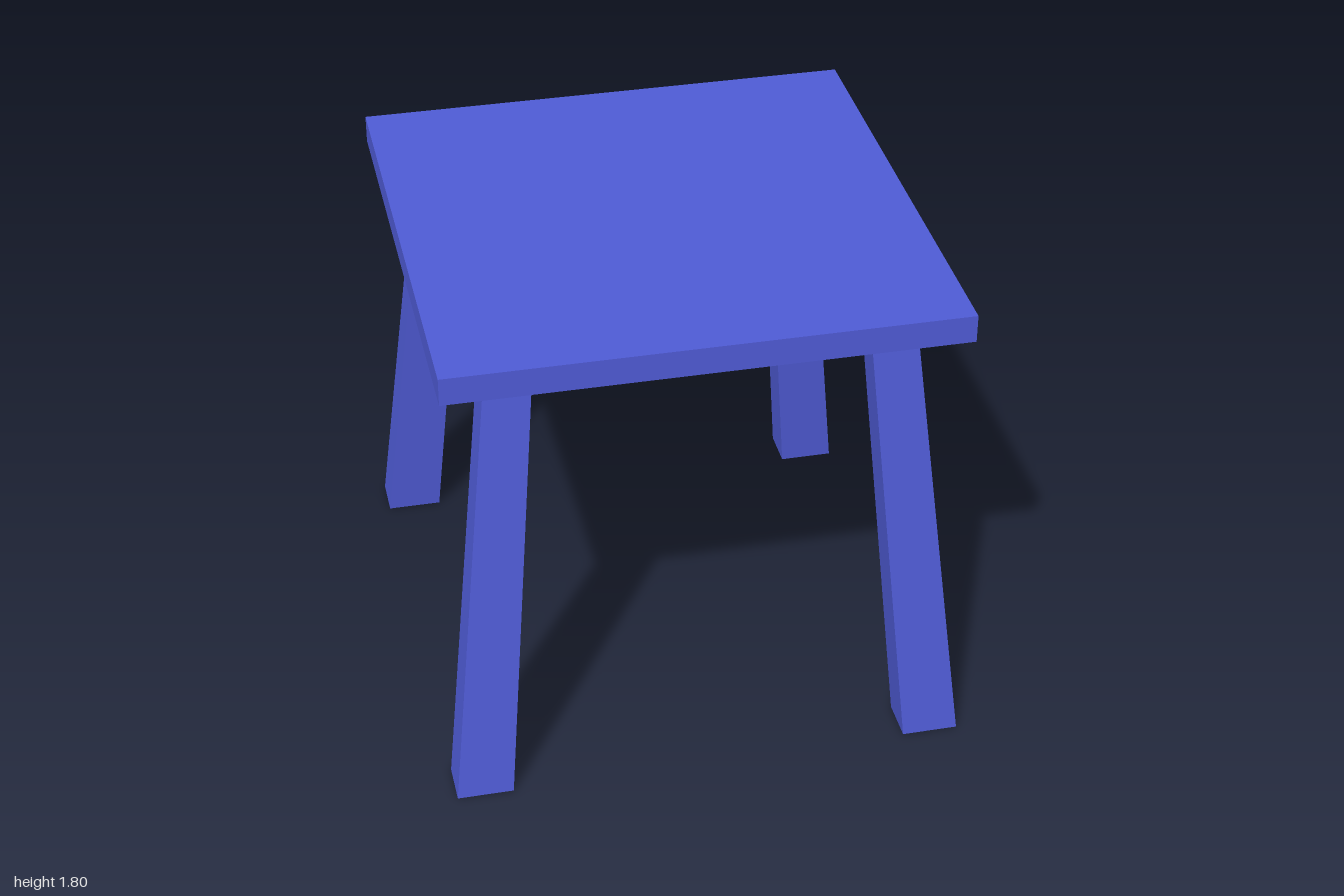
import * as THREE from 'three';

const SEAT_BOTTOM = 1.695;
const SEAT_TOP = 1.8;

// Tapered, splayed leg: a unit box whose corners are moved to the foot and top rectangles
function legGeometry(sx, sz) {
  const foot = { x: [0.744, 0.952], z: [0.837, 1.0] };
  const top = { x: [0.598, 0.767], z: [0.673, 0.805] };
  const geometry = new THREE.BoxGeometry(1, 1, 1);
  const p = geometry.attributes.position;
  for (let i = 0; i < p.count; i++) {
    const end = p.getY(i) > 0 ? top : foot;
    const outerX = p.getX(i) * sx > 0 ? 1 : 0;
    const outerZ = p.getZ(i) * sz > 0 ? 1 : 0;
    p.setXYZ(i, sx * end.x[outerX], p.getY(i) > 0 ? SEAT_BOTTOM : 0, sz * end.z[outerZ]);
  }
  geometry.computeVertexNormals();
  return geometry;
}

export function createModel() {
  const group = new THREE.Group();
  group.name = 'stool';
  const paint = new THREE.MeshStandardMaterial({ color: 0x4f5bd5, flatShading: true });

  // Flat square seat
  const seat = new THREE.Mesh(new THREE.BoxGeometry(1.876, SEAT_TOP - SEAT_BOTTOM, 1.876), paint);
  seat.name = 'seat';
  seat.position.y = (SEAT_TOP + SEAT_BOTTOM) / 2;
  group.add(seat);

  // Four legs, mirrored across both axes
  for (const sx of [-1, 1]) {
    for (const sz of [-1, 1]) {
      const leg = new THREE.Mesh(legGeometry(sx, sz), paint);
      leg.name = (sz > 0 ? 'front' : 'back') + (sx > 0 ? 'Left' : 'Right') + 'Leg';
      group.add(leg);
    }
  }
  return group;
}
